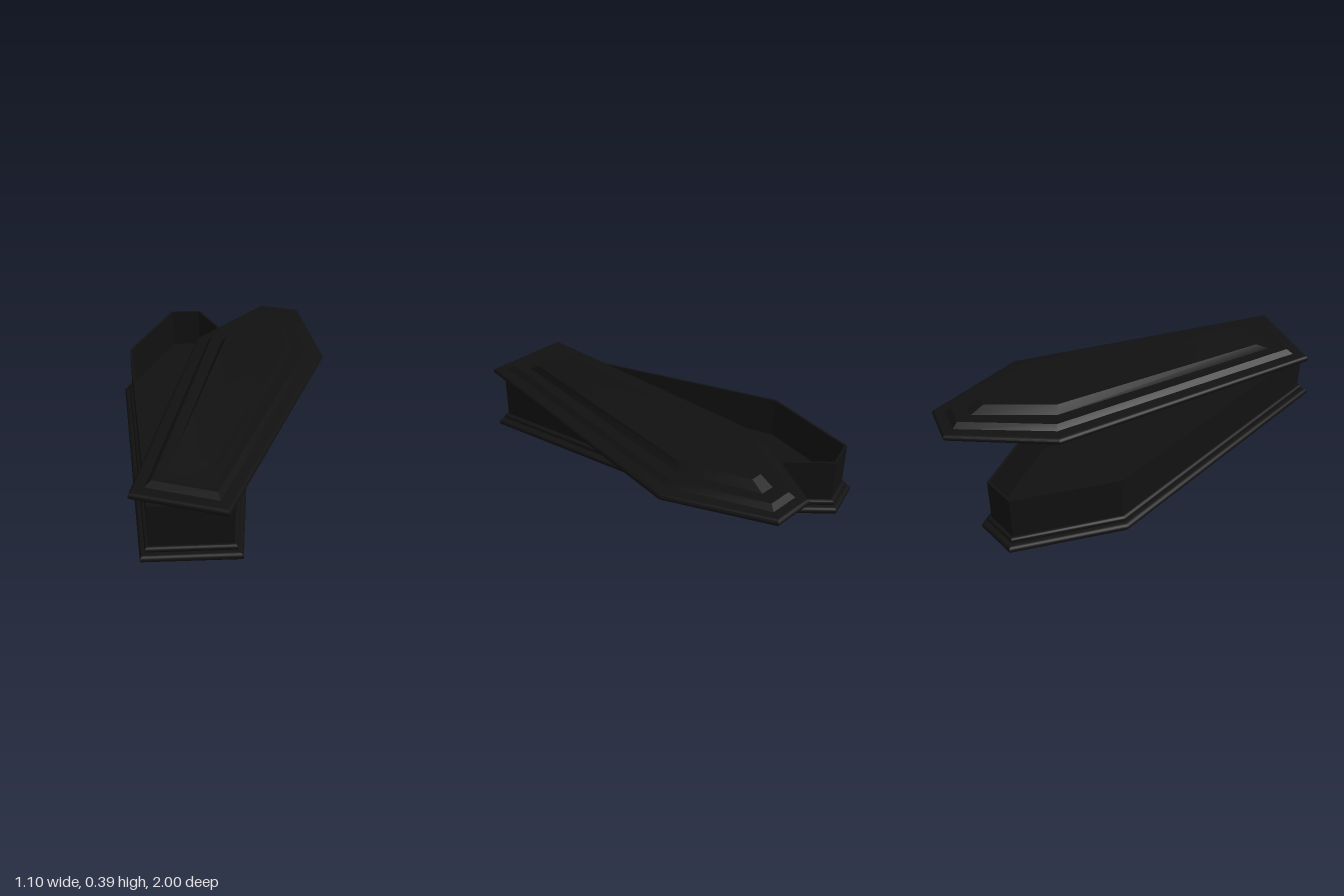
import * as THREE from 'three';
import { toCreasedNormals } from 'three/addons/utils/BufferGeometryUtils.js';

const material = new THREE.MeshStandardMaterial({ color: 0x111111 });

// Six-sided outline from half widths and depths at foot, shoulder and head
const outline = (y, footX, footZ, shoulderX, shoulderZ, headX, headZ) => [
  [footX, y, footZ], [shoulderX, y, shoulderZ], [headX, y, headZ],
  [-headX, y, headZ], [-shoulderX, y, shoulderZ], [-footX, y, footZ],
];

// The common outline, moved inward by d with mitred corners
const inset = (y, d) => outline(y,
  0.23 - 0.915 * d, 0.945 - d,
  0.358 - 1.021 * d, -0.5 + 0.192 * d,
  0.11 - 0.62 * d, -1 + d);

// Rings of a half-round edge between two heights
function roundedEdge(y0, y1, d, steps = 8) {
  const r = (y1 - y0) / 2;
  const rings = [];
  for (let i = 0; i <= steps; i++) {
    const a = -Math.PI / 2 + (Math.PI * i) / steps;
    rings.push(inset(y0 + r + r * Math.sin(a), d + r * (1 - Math.cos(a))));
  }
  return rings;
}

// Closed skin through a stack of rings, capped at both ends
function loft(name, rings) {
  const n = rings[0].length;
  const index = [];
  const last = (rings.length - 1) * n;
  for (let k = 0; k < rings.length - 1; k++) {
    for (let i = 0; i < n; i++) {
      const a = k * n + i, b = k * n + (i + 1) % n;
      index.push(a, b, b + n, a, b + n, a + n);
    }
  }
  for (let i = 1; i < n - 1; i++) {
    index.push(0, i + 1, i);
    index.push(last, last + i, last + i + 1);
  }
  const geometry = new THREE.BufferGeometry();
  geometry.setAttribute('position', new THREE.Float32BufferAttribute(rings.flat(2), 3));
  geometry.setIndex(index);
  const mesh = new THREE.Mesh(toCreasedNormals(geometry, 0.5), material);
  mesh.name = name;
  return mesh;
}

export function createModel() {
  const model = new THREE.Group();
  model.name = 'coffin';

  // Hollow box on two rounded mouldings
  const box = new THREE.Group();
  box.name = 'box';
  box.position.x = -0.192;
  box.add(
    loft('baseMoulding', roundedEdge(0, 0.037, 0)),
    loft('upperMoulding', roundedEdge(0.037, 0.068, 0.024)),
    loft('hollowBody', [
      inset(0.05, 0.042), inset(0.288, 0.042),
      inset(0.288, 0.054), inset(0.072, 0.054),
    ]),
  );

  // Stepped lid, swung aside across the box
  const lid = new THREE.Group();
  lid.name = 'lid';
  lid.position.set(0.051, 0, 0.03);
  lid.rotation.y = -0.32;
  lid.add(
    loft('lidEdge', roundedEdge(0.288, 0.323, 0)),
    loft('lidPanels', [
      outline(0.32, 0.177, 0.885, 0.292, -0.488, 0.078, -0.945),
      outline(0.347, 0.152, 0.855, 0.265, -0.48, 0.06, -0.914),
      outline(0.347, 0.107, 0.768, 0.201, -0.455, 0.036, -0.84),
      outline(0.386, 0.098, 0.696, 0.17, -0.44, 0.028, -0.77),
    ]),
  );

  model.add(box, lid);
  return model;
}
